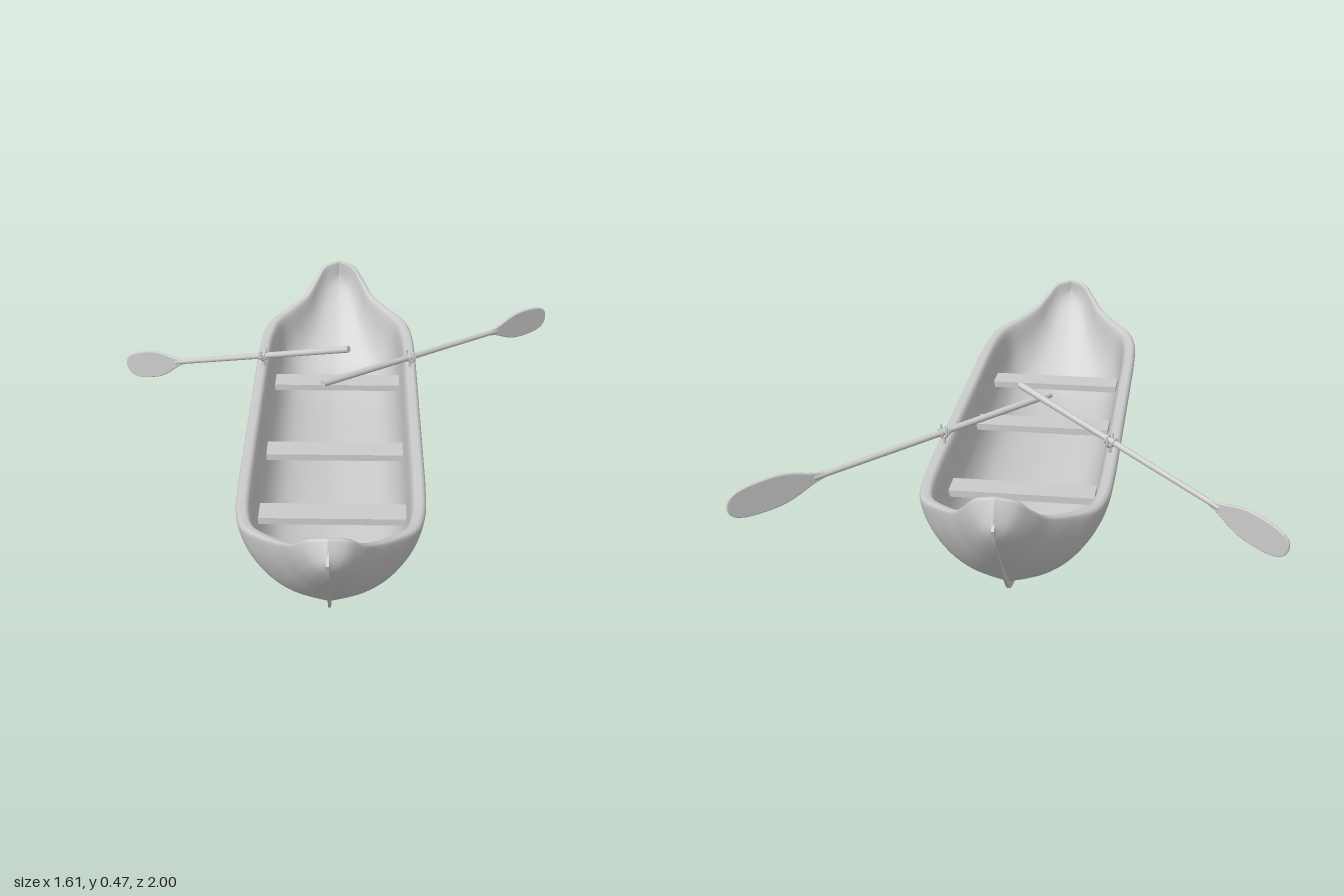
import * as THREE from 'three';

const grey = new THREE.MeshStandardMaterial({ color: 0xcccccc });
const V = (x, y, z) => new THREE.Vector3(x, y, z);

function add(parent, geometry, name, x = 0, y = 0, z = 0) {
  const m = new THREE.Mesh(geometry, grey);
  m.name = name;
  m.position.set(x, y, z);
  parent.add(m);
  return m;
}

// Half of the stations, midship to bow: keel z, keel y, gunwale z, gunwale y, half width
const STATIONS = [
  [0, 0.03, 0, 0.31, 0.285], [0.25, 0.03, 0.25, 0.31, 0.285], [0.48, 0.03, 0.48, 0.31, 0.284],
  [0.62, 0.04, 0.62, 0.312, 0.277], [0.72, 0.062, 0.72, 0.32, 0.252], [0.8, 0.13, 0.8, 0.337, 0.187],
  [0.87, 0.205, 0.86, 0.36, 0.133], [0.93, 0.275, 0.91, 0.39, 0.098], [0.975, 0.34, 0.945, 0.427, 0.06],
  [0.995, 0.385, 0.96, 0.44, 0],
];

// Half section: share of width, share of height, 0 = outer skin and 1 = inner skin
const SECTION = [
  [0, 0, 0], [0.2, 0.05, 0], [0.42, 0.13, 0], [0.63, 0.27, 0], [0.8, 0.46, 0], [0.92, 0.66, 0],
  [0.985, 0.85, 0], [1, 0.95, 0], [0.98, 0.99, 0.1], [0.93, 1, 0.5], [0.87, 0.98, 0.9], [0.84, 0.9, 1],
  [0.8, 0.62, 1], [0.74, 0.42, 1], [0.6, 0.22, 1], [0.35, 0.1, 1], [0, 0.04, 1],
];

// Hull: one closed section, outside and inside, lofted from stern to bow
function hullGeometry() {
  const rows = [...STATIONS.slice(1).reverse().map(s => [-1, s]), ...STATIONS.map(s => [1, s])];
  const keel = new THREE.CatmullRomCurve3(rows.map(([k, s]) => V(0, s[1], k * s[0])));
  // the stern tip stands a little higher than the bow
  const rail = new THREE.CatmullRomCurve3(rows.map(([k, s]) =>
    V(s[4], s[3] + (k < 0 ? 0.2 * Math.max(0, s[2] - 0.86) : 0), k * s[2])));
  const half = new THREE.CatmullRomCurve3(SECTION.map(p => V(...p))).getPoints(48);
  const ring = [...half, ...half.slice(1, -1).reverse().map(p => V(-p.x, p.y, p.z))];
  const n = ring.length, m = (rows.length - 1) * 6;
  const pos = [], idx = [];
  for (let i = 0; i <= m; i++) {
    const a = keel.getPoint(i / m), b = rail.getPoint(i / m);
    const w = Math.max(0, b.x);
    for (const p of ring) {
      const inset = 1 - p.z * THREE.MathUtils.lerp(0.045, 0.013, p.y);
      pos.push(w * p.x,
        THREE.MathUtils.lerp(a.y, b.y, p.y) + 0.015 * p.z * (1 - p.y),
        THREE.MathUtils.lerp(a.z, b.z, p.y) * inset);
    }
  }
  for (let i = 0; i < m; i++) for (let j = 0; j < n; j++) {
    const k = (j + 1) % n;
    const a = i * n + j, b = i * n + k, c = b + n, d = a + n;
    idx.push(a, b, c, a, c, d);
  }
  const g = new THREE.BufferGeometry();
  g.setAttribute('position', new THREE.Float32BufferAttribute(pos, 3));
  g.setIndex(idx);
  g.computeVertexNormals();
  return g;
}

// Keel fin: thin strip along the bottom and up both stems
function keelGeometry() {
  const side = [[0, 0], [0.25, 0], [0.5, 0], [0.6, 0.01], [0.73, 0.045], [0.8, 0.11],
    [0.87, 0.19], [0.93, 0.265], [0.975, 0.325], [1, 0.38]];
  const pts = [...side.slice(1).reverse().map(([z, y]) => V(-z, y, 0)), ...side.map(([z, y]) => V(z, y, 0))];
  const edge = new THREE.CatmullRomCurve3(pts).getPoints(90);
  const inner = edge.map(p => V(p.x * 0.97, p.y + 0.04, 0)).reverse();
  const shape = new THREE.Shape([...edge, ...inner].map(p => new THREE.Vector2(p.x, p.y)));
  const g = new THREE.ExtrudeGeometry(shape, { depth: 0.008, bevelEnabled: false });
  return g.rotateY(-Math.PI / 2).translate(0.004, 0, 0);
}

// Oar along local +x from the handle, blade upright in the local xy plane
function makeOar(handle, tip, lock, name) {
  const oar = new THREE.Group();
  oar.name = name;
  const dir = tip.clone().sub(handle), len = dir.length();
  dir.normalize();
  const across = dir.clone().cross(V(0, 1, 0)).normalize();
  const up = across.clone().cross(dir);
  oar.applyMatrix4(new THREE.Matrix4().makeBasis(dir, up, across).setPosition(handle));

  const blade = len * 0.27, neck = len - blade;
  const shaft = new THREE.CylinderGeometry(0.009, 0.0115, neck + 0.03, 16);
  add(oar, shaft.rotateZ(-Math.PI / 2), 'shaft', (neck + 0.03) / 2);

  const s = new THREE.Shape();
  s.moveTo(0, -0.006);
  s.bezierCurveTo(blade * 0.2, -0.012, blade * 0.3, -0.048, blade * 0.58, -0.048);
  s.bezierCurveTo(blade * 0.85, -0.048, blade, -0.04, blade, 0);
  s.bezierCurveTo(blade, 0.04, blade * 0.85, 0.048, blade * 0.58, 0.048);
  s.bezierCurveTo(blade * 0.3, 0.048, blade * 0.2, 0.012, 0, 0.006);
  const bladeGeo = new THREE.ExtrudeGeometry(s, {
    depth: 0.003, bevelThickness: 0.004, bevelSize: 0.004, bevelSegments: 3, curveSegments: 16,
  });
  add(oar, bladeGeo, 'blade', neck - 0.004, 0, -0.0015);

  // collars that keep the oar in its lock
  const at = lock.clone().sub(handle).dot(dir);
  for (const o of [-0.012, 0.012])
    add(oar, new THREE.TorusGeometry(0.012, 0.004, 8, 20).rotateY(Math.PI / 2), 'collar', at + o);
  return oar;
}

// Oarlock: pin in the gunwale with a U-shaped fork
function makeOarlock(lock, dir, name) {
  const g = new THREE.Group();
  g.name = name;
  g.position.copy(lock);
  g.rotation.y = Math.atan2(dir.x, dir.z);
  add(g, new THREE.CylinderGeometry(0.005, 0.005, 0.04, 12), 'pin', 0, -0.035);
  add(g, new THREE.TorusGeometry(0.017, 0.004, 8, 20, Math.PI).rotateZ(Math.PI), 'fork');
  for (const k of [-1, 1])
    add(g, new THREE.CylinderGeometry(0.003, 0.004, 0.022, 10), 'prong', k * 0.017, 0.011);
  return g;
}

export function createModel() {
  const boat = new THREE.Group();
  boat.name = 'rowingBoat';
  add(boat, hullGeometry(), 'hull');
  add(boat, keelGeometry(), 'keel');

  for (const z of [-0.415, 0.085, 0.468])
    add(boat, new THREE.BoxGeometry(0.45, 0.022, 0.085), 'bench', 0.003, 0.2, z);

  // handle, tip and lock of each oar
  const oars = [
    ['right', V(0.045, 0.453, -0.17), V(-0.8, 0.162, -0.615), V(-0.257, 0.347, -0.333)],
    ['left', V(-0.04, 0.378, -0.058), V(0.8, 0.294, -0.81), V(0.262, 0.347, -0.33)],
  ];
  for (const [side, handle, tip, lock] of oars) {
    boat.add(makeOar(handle, tip, lock, side + 'Oar'));
    boat.add(makeOarlock(lock, tip.clone().sub(handle), side + 'Oarlock'));
  }
  return boat;
}
